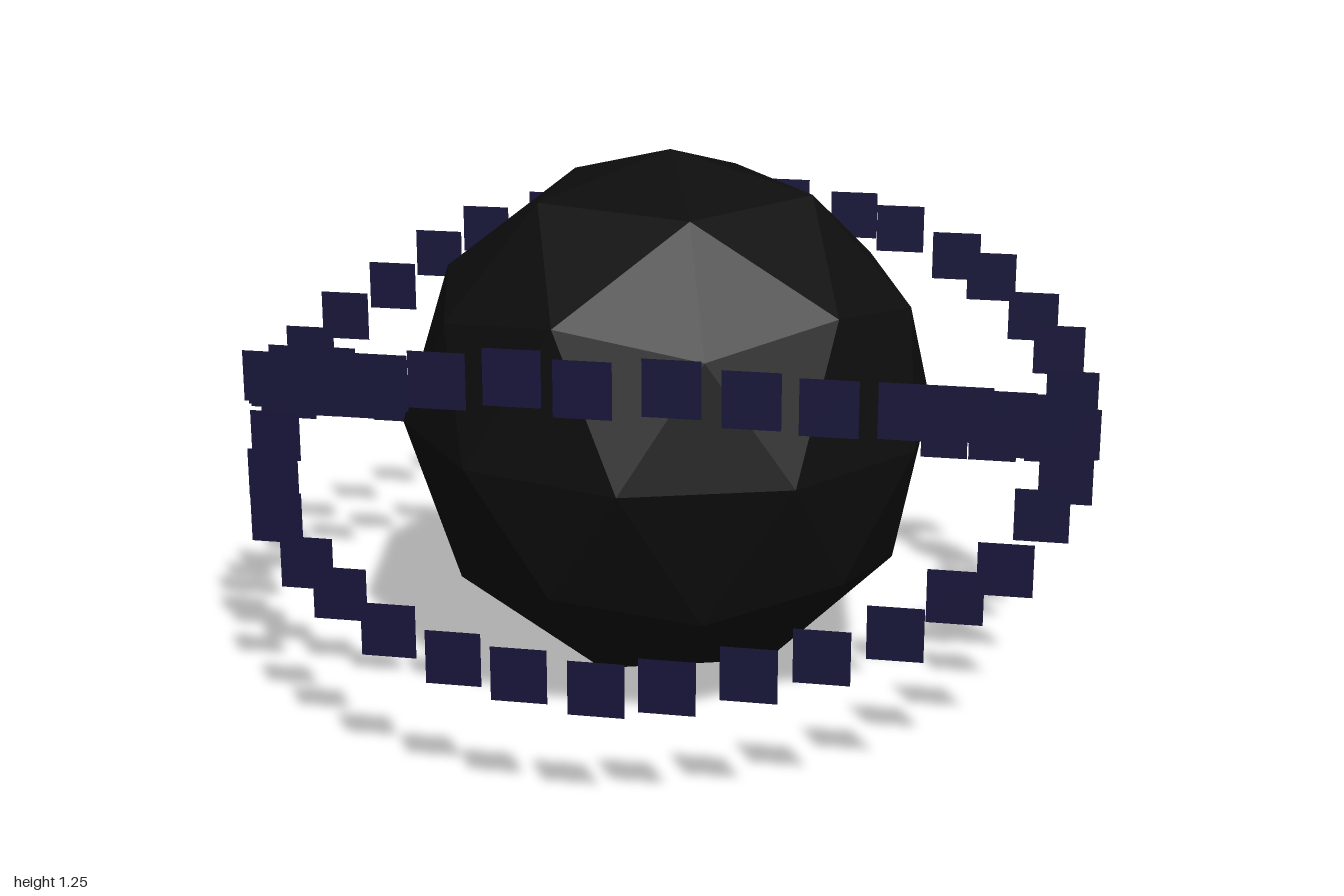
import * as THREE from 'three';

const CENTRE = new THREE.Vector3(-0.01, 0.6225, 0);
const RING_RADIUS = 0.935;
const TILT = THREE.MathUtils.degToRad(20);
const COUNT = 36;

// Small seeded generator, returns -1..1
function makeJitter(seed) {
  let s = seed;
  return () => {
    s = (s * 16807) % 2147483647;
    return (s / 2147483647) * 2 - 1;
  };
}

// A tilted ring of loose square flakes that all face the front
function makeRing(name, tilt, material, jitter) {
  const ring = new THREE.Group();
  ring.name = name;
  const square = new THREE.PlaneGeometry(0.12, 0.12);
  for (let i = 0; i < COUNT; i++) {
    const a = (i / COUNT) * Math.PI * 2;
    const flake = new THREE.Mesh(square, material);
    flake.name = 'ringFlake';
    flake.position.set(
      RING_RADIUS * Math.sin(a) + jitter() * 0.012,
      RING_RADIUS * Math.cos(a) * Math.sin(tilt) + jitter() * 0.012,
      RING_RADIUS * Math.cos(a) * Math.cos(tilt) + jitter() * 0.012
    );
    ring.add(flake);
  }
  ring.position.copy(CENTRE);
  return ring;
}

export function createModel() {
  const model = new THREE.Group();
  model.name = 'ringedPlanet';

  const planetMaterial = new THREE.MeshStandardMaterial({ color: 0x0d0d0d, flatShading: true });
  const flakeMaterial = new THREE.MeshStandardMaterial({ color: 0x17153a, side: THREE.DoubleSide });

  // Faceted ball, turned so that a five-sided corner points straight up
  const ball = new THREE.IcosahedronGeometry(0.6225, 1);
  ball.rotateZ(-Math.atan(2 / (1 + Math.sqrt(5))));
  const planet = new THREE.Mesh(ball, planetMaterial);
  planet.name = 'planet';
  planet.position.copy(CENTRE);
  model.add(planet);

  // Two crossing rings, tilted opposite ways
  const jitter = makeJitter(71);
  model.add(makeRing('ringHighInFront', TILT, flakeMaterial, jitter));
  model.add(makeRing('ringLowInFront', -TILT, flakeMaterial, jitter));

  return model;
}
